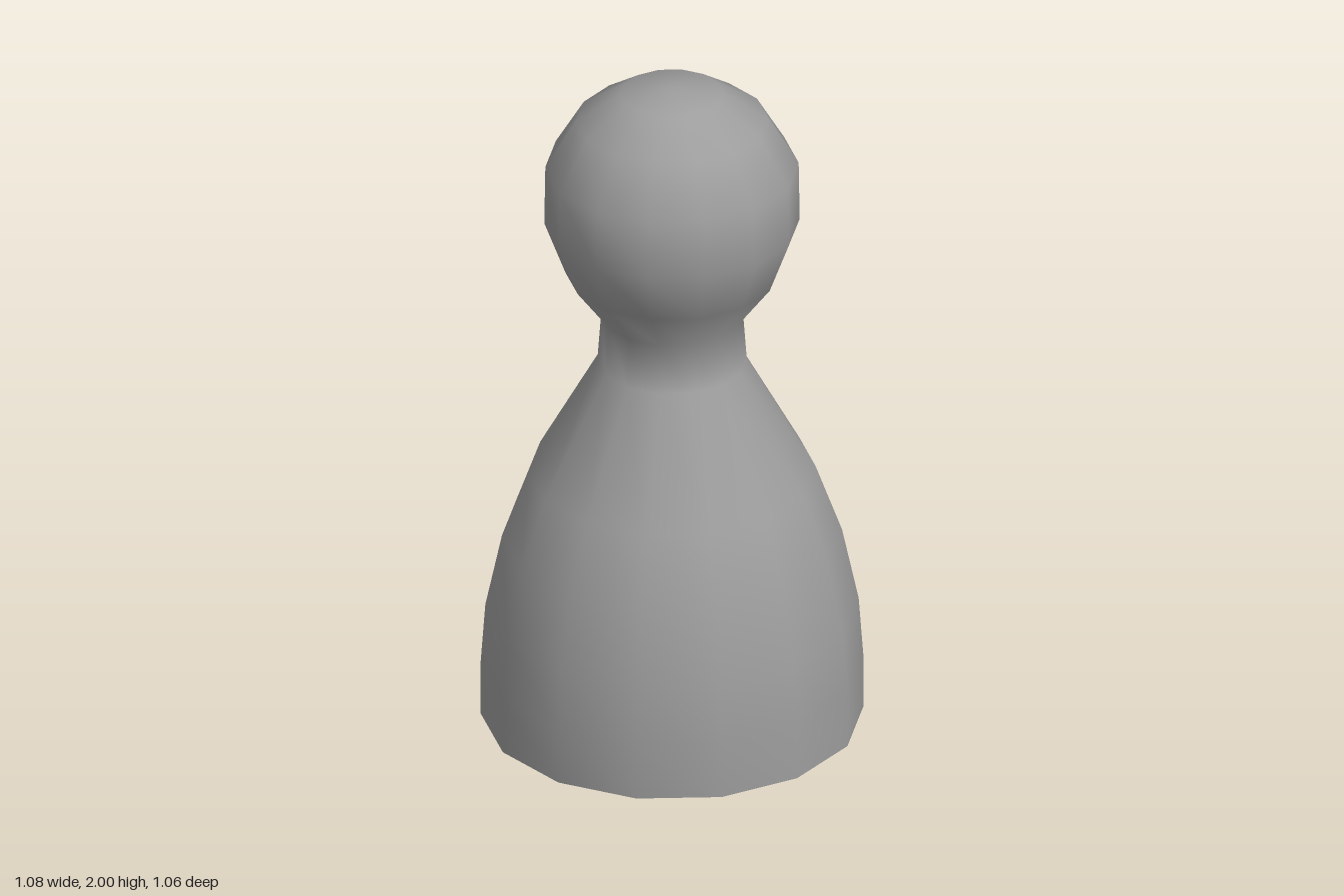
import * as THREE from 'three';
import { mergeVertices } from 'three/addons/utils/BufferGeometryUtils.js';

const SIDES = 14;
const BASE_RADIUS = 0.542;

export function createModel() {
  const group = new THREE.Group();
  group.name = 'pawn';
  const material = new THREE.MeshStandardMaterial({ color: 0x9d9d9d });

  // Turned body: skirt, neck and round head in one profile (radius, height)
  const profile = [
    [BASE_RADIUS, 0], [BASE_RADIUS, 0.17], [0.529, 0.35], [0.482, 0.57], [0.407, 0.775],
    [0.212, 1.125], [0.201, 1.275],
    [0.302, 1.41], [0.362, 1.57], [0.359, 1.75], [0.272, 1.895], [0.145, 1.98], [0, 2],
  ].map(([r, y]) => new THREE.Vector2(r, y));
  const lathe = new THREE.LatheGeometry(profile, SIDES, Math.PI / 2);

  // Weld the seam and the crown so the shading runs smoothly over the top
  lathe.deleteAttribute('uv');
  lathe.deleteAttribute('normal');
  const bodyGeometry = mergeVertices(lathe);
  bodyGeometry.computeVertexNormals();
  const body = new THREE.Mesh(bodyGeometry, material);
  body.name = 'body';

  // Flat underside with a crisp edge
  const base = new THREE.Mesh(new THREE.CircleGeometry(BASE_RADIUS, SIDES).rotateX(Math.PI / 2), material);
  base.name = 'base';

  group.add(body, base);
  return group;
}
